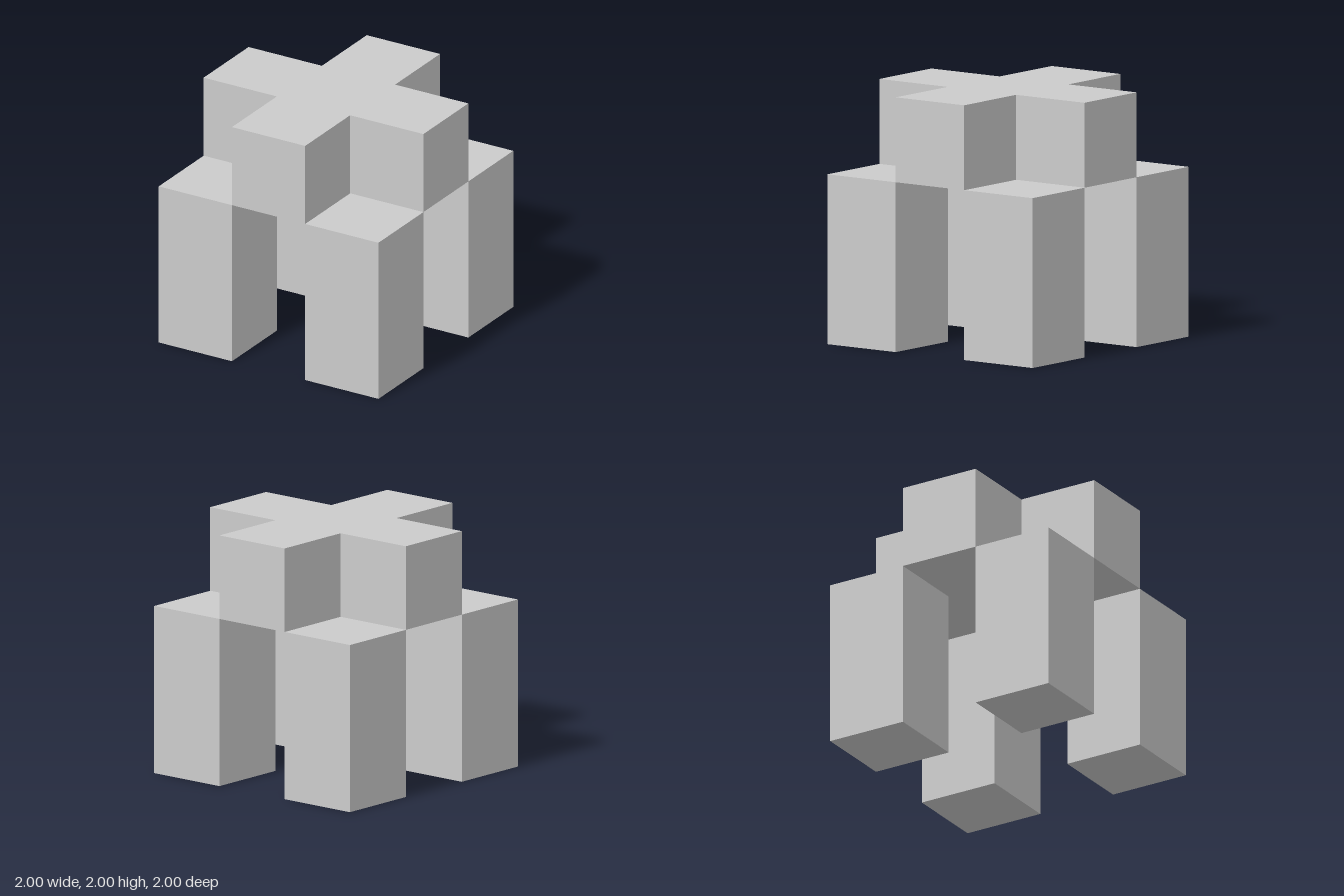
import * as THREE from 'three';

const U = 2 / 3; // one cell of the 3 x 3 x 3 layout

export function createModel() {
  const group = new THREE.Group();
  const material = new THREE.MeshStandardMaterial({ color: 0xcccccc, flatShading: true });

  // Cross-shaped top slab, one cell thick
  const a = U / 2, b = 1;
  const outline = [
    [-a, -b], [a, -b], [a, -a], [b, -a], [b, a], [a, a],
    [a, b], [-a, b], [-a, a], [-b, a], [-b, -a], [-a, -a],
  ].map(([x, y]) => new THREE.Vector2(x, y));
  const crossGeometry = new THREE.ExtrudeGeometry(new THREE.Shape(outline), { depth: U, bevelEnabled: false });
  crossGeometry.rotateX(-Math.PI / 2);
  const cross = new THREE.Mesh(crossGeometry, material);
  cross.name = 'crossTop';
  cross.position.y = 2 * U;
  group.add(cross);

  // Four corner legs, two cells tall, meeting the cross along its inner edges
  const legGeometry = new THREE.BoxGeometry(U, 2 * U, U);
  for (const [sx, side] of [[1, 'Left'], [-1, 'Right']]) {
    for (const [sz, end] of [[1, 'front'], [-1, 'back']]) {
      const leg = new THREE.Mesh(legGeometry, material);
      leg.name = `${end}${side}Leg`;
      leg.position.set(sx * U, U, sz * U);
      group.add(leg);
    }
  }
  return group;
}
